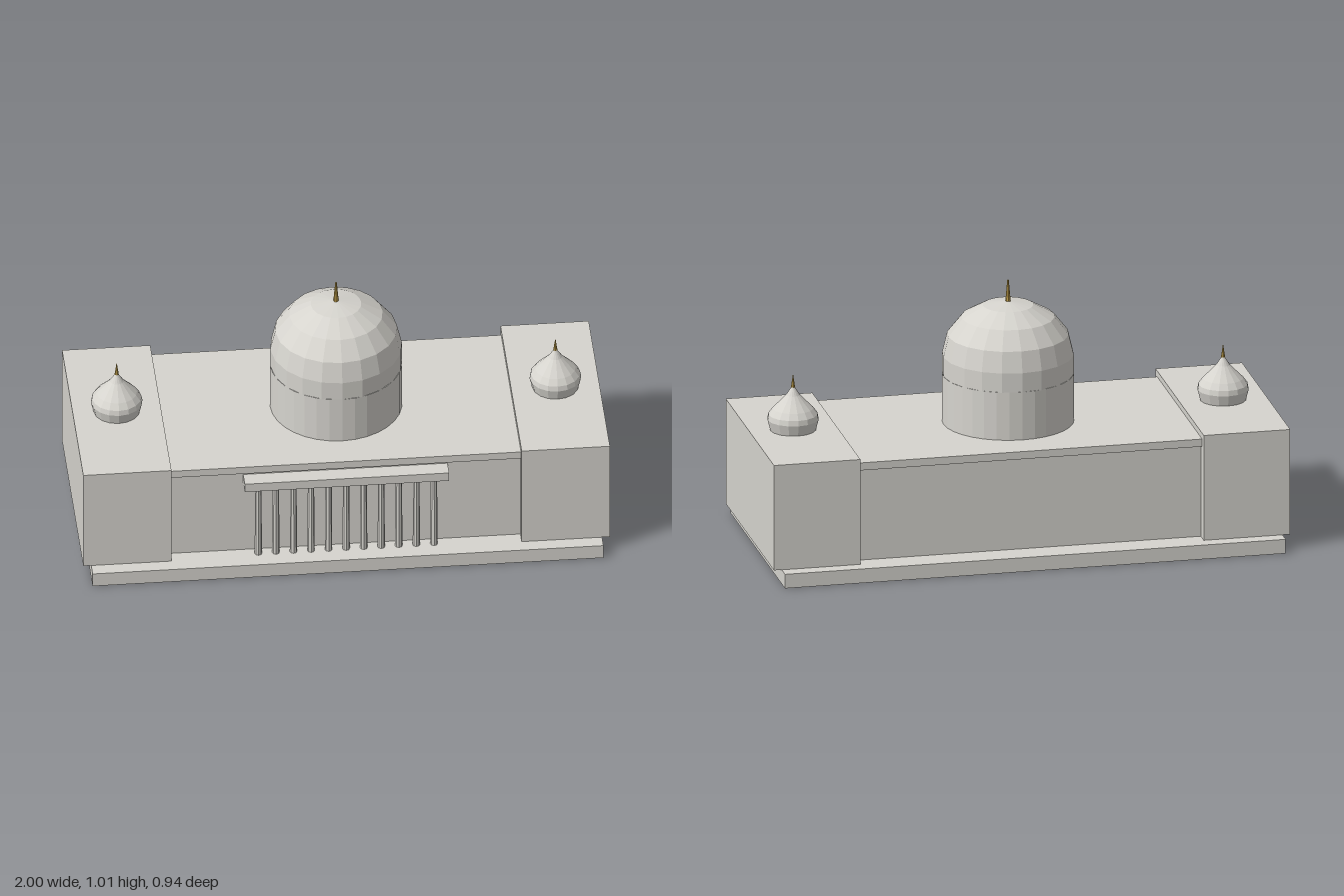
import * as THREE from 'three';

export function createModel() {
  const group = new THREE.Group();
  const stone = new THREE.MeshStandardMaterial({ color: 0xd6d4ce, flatShading: true });
  stone.name = 'pale stone';
  const gold = new THREE.MeshStandardMaterial({ color: 0xc4a24c, flatShading: true });
  gold.name = 'gold';

  const add = (name, geometry, material, x, y, z) => {
    const mesh = new THREE.Mesh(geometry, material);
    mesh.name = name;
    mesh.position.set(x, y, z);
    group.add(mesh);
    return mesh;
  };
  // Box from its x centre, width, y range and z range
  const block = (name, x, w, y0, y1, z0, z1) =>
    add(name, new THREE.BoxGeometry(w, y1 - y0, z1 - z0), stone, x, (y0 + y1) / 2, (z0 + z1) / 2);
  // Tapered round part standing on y0
  const round = (name, material, x, y0, y1, z, rTop, rBottom, sides) =>
    add(name, new THREE.CylinderGeometry(rTop, rBottom, y1 - y0, sides), material, x, (y0 + y1) / 2, z);
  const turned = (name, profile, sides, x) =>
    add(name, new THREE.LatheGeometry(profile.map(([r, y]) => new THREE.Vector2(r, y)), sides), stone, x, 0, 0);

  // Plinth, central hall and its cornice
  block('plinth', 0, 1.94, 0, 0.056, -0.472, 0.472);
  block('mainHall', 0, 1.34, 0.056, 0.42, -0.365, 0.365);
  block('cornice', 0, 1.34, 0.42, 0.45, -0.388, 0.388);

  // Portico: a row of columns under a beam
  block('porticoBeam', 0, 0.776, 0.365, 0.401, 0.35, 0.43);
  for (let i = -5; i <= 5; i++) {
    round('column', stone, i * 0.0667, 0.056, 0.365, 0.396, 0.012, 0.014, 8);
  }

  // Central drum and dome
  round('drum', stone, 0, 0.45, 0.64, 0, 0.25, 0.25, 32);
  const dome = [[0.25, 0.638]];
  for (let i = 0; i <= 4; i++) {
    const a = (i * Math.PI) / 8;
    dome.push([i === 4 ? 0 : 0.25 * Math.cos(a), 0.715 + 0.21 * Math.sin(a)]);
  }
  turned('dome', dome, 20, 0);
  round('domeSpire', gold, 0, 0.915, 1.007, 0, 0.003, 0.011, 8);

  // End wings, each with an onion cupola and spire
  const onion = [[0, 0.472], [0.087, 0.472], [0.098, 0.515], [0.094, 0.535], [0.077, 0.558],
    [0.05, 0.585], [0.026, 0.61], [0.01, 0.635], [0, 0.656]];
  for (const side of [-1, 1]) {
    block('wing', side * 0.8325, 0.335, 0.056, 0.473, -0.416, 0.416);
    turned('cupola', onion, 16, side * 0.833);
    round('cupolaSpire', gold, side * 0.833, 0.64, 0.688, 0, 0.001, 0.008, 8);
  }
  return group;
}
